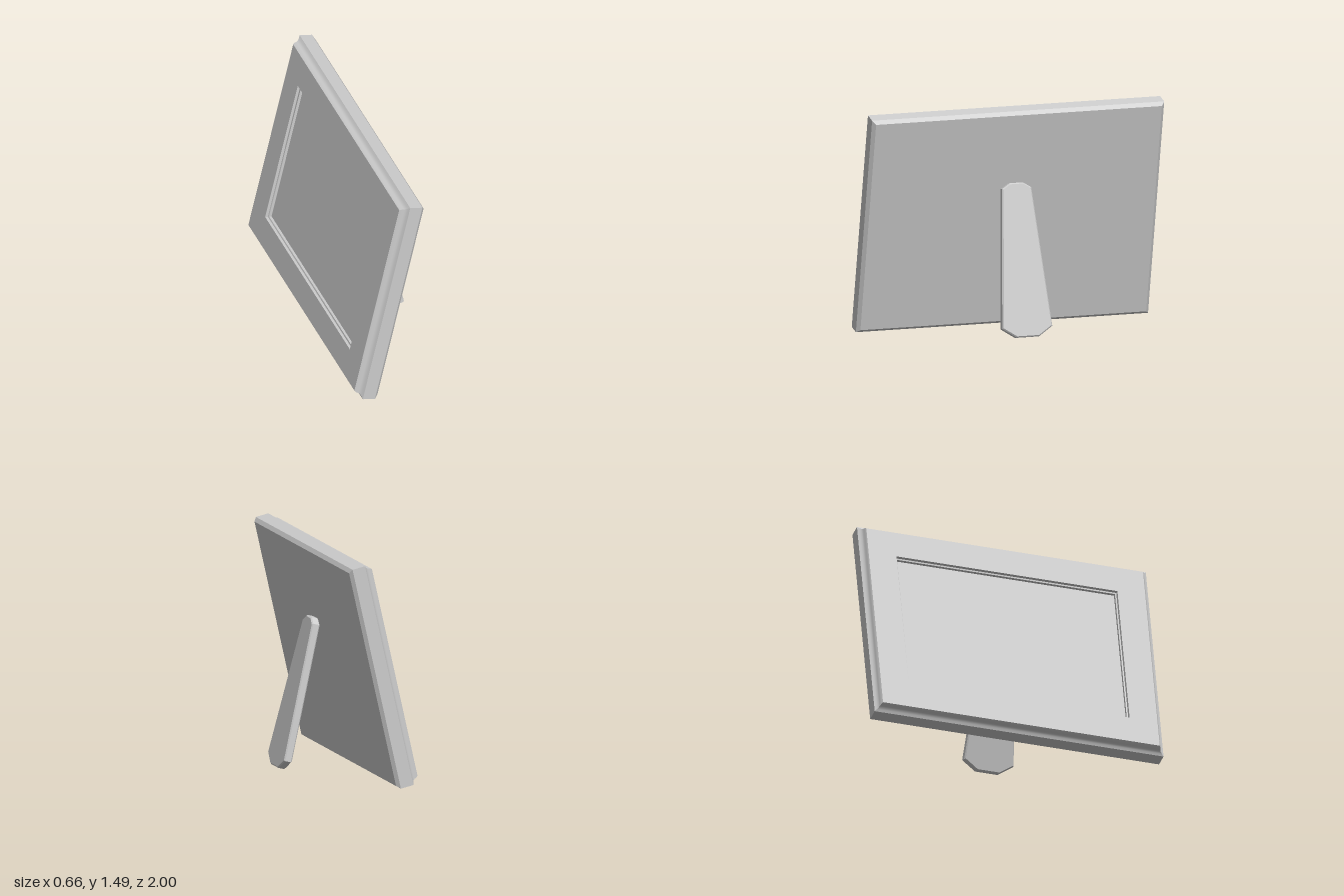
import * as THREE from 'three';
import { toCreasedNormals } from 'three/addons/utils/BufferGeometryUtils.js';

const TILT = 0.222; // backward lean of the frame
const HALF_W = 1, HALF_H = 0.75;

// Moulding section, from the back edge round the outside to the picture recess: [inset, depth]
const SECTION = [
  [0.022, -0.181], [0, -0.203], [0, -0.29],
  [0.014, -0.298], [0.024, -0.306], [0.03, -0.316], [0.034, -0.332], [0.042, -0.343],
  [0.235, -0.343], [0.237, -0.325], [0.246, -0.322], [0.246, -0.304],
];

// Sweeps the section around a mitred rectangle
function mouldingGeometry() {
  const corner = ([inset, z], k) => {
    const sx = [1, 1, -1, -1][k % 4], sy = [-1, 1, 1, -1][k % 4];
    return [sx * (HALF_W - inset), sy * (HALF_H - inset), z];
  };
  const pos = [];
  for (let i = 0; i < SECTION.length - 1; i++) {
    for (let k = 0; k < 4; k++) {
      const a = corner(SECTION[i], k), b = corner(SECTION[i], k + 1);
      const c = corner(SECTION[i + 1], k + 1), d = corner(SECTION[i + 1], k);
      pos.push(...a, ...d, ...c, ...a, ...c, ...b);
    }
  }
  const g = new THREE.BufferGeometry();
  g.setAttribute('position', new THREE.Float32BufferAttribute(pos, 3));
  return toCreasedNormals(g, 0.6);
}

// Flat rectangle filling the section at one of its ends
function panelGeometry([inset, z], facingFront) {
  const g = new THREE.PlaneGeometry(2 * (HALF_W - inset), 2 * (HALF_H - inset));
  if (facingFront) g.rotateY(Math.PI);
  return g.translate(0, 0, z);
}

// Tapered prop with clipped corners and a fine bevel
function legGeometry() {
  const bevel = 0.008;
  const half = [[0.075, bevel], [0.163, 0.066], [0.092, 0.965], [0.042, 0.996]];
  const outline = [...half, ...half.map(([x, y]) => [-x, y]).reverse()];
  const shape = new THREE.Shape(outline.map(([x, y]) => new THREE.Vector2(x, y)));
  return new THREE.ExtrudeGeometry(shape, {
    depth: 0.055 - 2 * bevel, bevelEnabled: true,
    bevelThickness: bevel, bevelSize: bevel, bevelSegments: 1,
  }).translate(0, 0, bevel);
}

export function createModel() {
  const model = new THREE.Group();
  model.name = 'pictureFrame';
  const material = new THREE.MeshStandardMaterial({ color: 0xcccccc });
  const add = (parent, name, geometry) => {
    const mesh = new THREE.Mesh(geometry, material);
    mesh.name = name;
    parent.add(mesh);
    return mesh;
  };

  // Leaning frame, its picture side facing -x
  const frame = new THREE.Group();
  frame.name = 'frame';
  add(frame, 'moulding', mouldingGeometry());
  add(frame, 'backPanel', panelGeometry(SECTION[0], false));
  add(frame, 'picturePanel', panelGeometry(SECTION[SECTION.length - 1], true));
  frame.rotation.set(0, Math.PI / 2, -TILT, 'ZYX');
  frame.position.set(0.156, 0.692, 0);
  model.add(frame);

  // Easel leg behind
  const leg = add(model, 'easelLeg', legGeometry());
  leg.rotation.set(0, Math.PI / 2, 0.24, 'ZYX');
  leg.position.set(0.278, 0, 0);

  return model;
}
